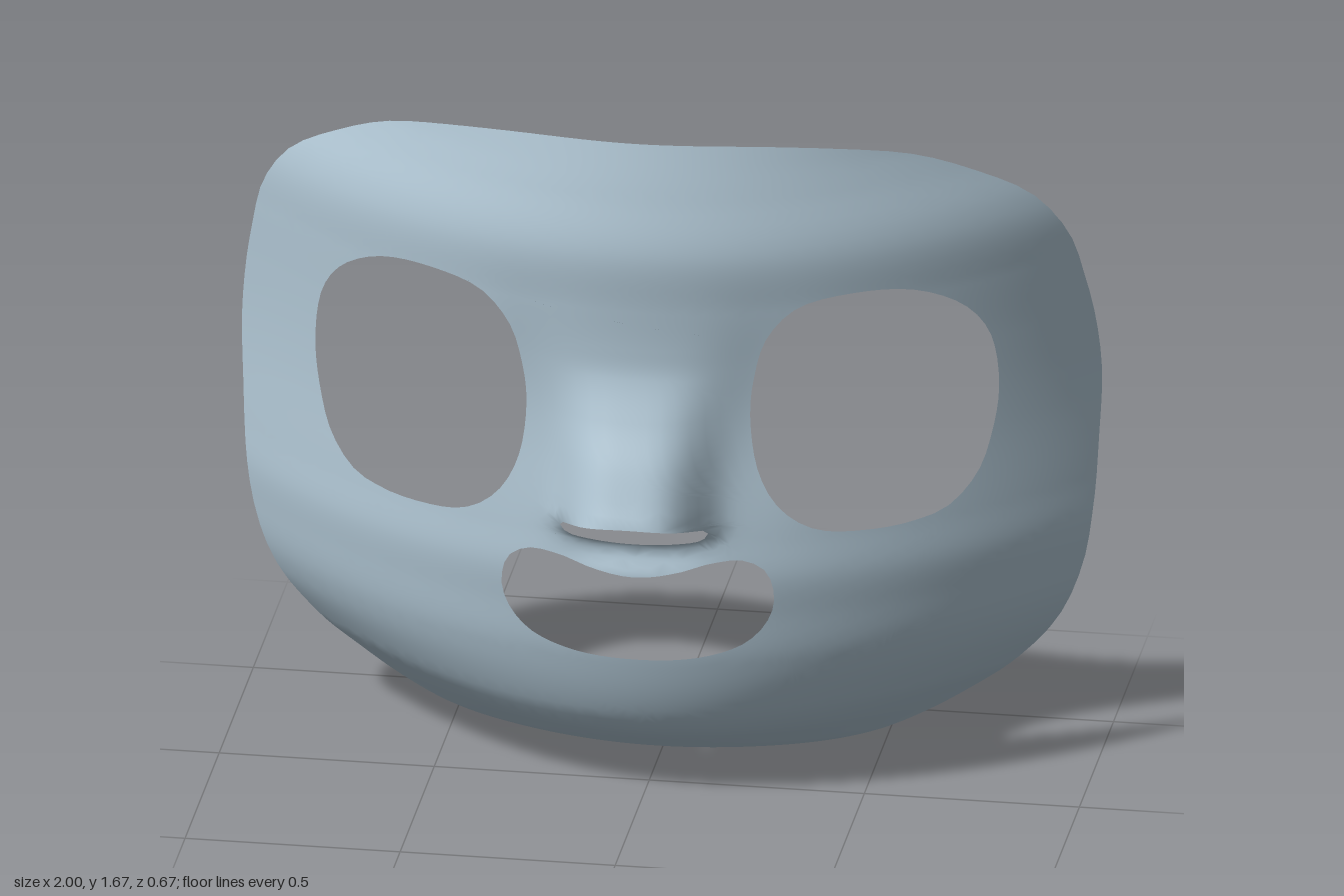
import * as THREE from 'three';
import { mergeVertices } from 'three/addons/utils/BufferGeometryUtils.js';

const shell = new THREE.MeshStandardMaterial({ color: 0xb2c8d6, side: THREE.DoubleSide });
shell.name = 'pale blue shell';

// Smooth interpolation through [position, value] pairs
function smoothTable(t) {
  const slope = i => {
    const a = t[Math.max(i - 1, 0)], b = t[Math.min(i + 1, t.length - 1)];
    return (b[1] - a[1]) / (b[0] - a[0]);
  };
  return y => {
    let i = 0;
    while (i < t.length - 2 && y > t[i + 1][0]) i++;
    const d = t[i + 1][0] - t[i][0], u = (y - t[i][0]) / d, v = 1 - u;
    return t[i][1] * (1 + 2 * u) * v * v + slope(i) * d * u * v * v
      + t[i + 1][1] * u * u * (3 - 2 * u) - slope(i + 1) * d * u * u * v;
  };
}

// Depth of the face along its middle, from chin to forehead
const middle = smoothTable([[0, -0.21], [0.045, -0.105], [0.095, -0.015], [0.16, 0.085], [0.235, 0.14],
  [0.38, 0.19], [0.5, 0.21], [0.6, 0.224], [0.7, 0.22], [0.9, 0.212], [1.12, 0.215], [1.27, 0.225],
  [1.41, 0.238], [1.55, 0.215], [1.68, 0.188]]);
// How strongly the face curves back towards the sides
const bend = smoothTable([[0, 0.62], [0.05, 0.66], [0.15, 0.74], [0.24, 0.64], [0.35, 0.55], [0.5, 0.51],
  [1, 0.505], [1.3, 0.505], [1.45, 0.53], [1.6, 0.58], [1.68, 0.58]]);
// How far the nose stands out
const nose = smoothTable([[0, 0], [0.6, 0], [0.69, 0], [0.74, 0.122], [0.77, 0.125], [0.82, 0.11],
  [0.9, 0.083], [1, 0.04], [1.1, 0.006], [1.17, 0], [1.3, 0], [1.7, 0]]);

function depth(x, y) {
  const ax = Math.abs(x);
  const ridge = nose(y) * Math.exp(-((ax / 0.155) ** 4));
  const socket = 0.018 * Math.exp(-(((ax - 0.27) / 0.1) ** 2) - ((y - 1) / 0.2) ** 2);
  return middle(y) - bend(y) * x * x - 0.04 * x ** 6 + ridge - socket;
}

// Closed smooth contour through points
function contour(points, divisions) {
  const c = new THREE.CatmullRomCurve3(points.map(([x, y]) => new THREE.Vector3(x, y, 0)), true, 'centripetal');
  return c.getSpacedPoints(divisions).slice(0, -1).map(p => new THREE.Vector2(p.x, p.y));
}
// Mirrors a half contour whose first and last points lie on x = 0
const mirrored = half => [...half, ...half.slice(1, -1).reverse().map(([x, y]) => [-x, y])];

const outline = mirrored([[0, 1.675], [0.28, 1.668], [0.48, 1.64], [0.61, 1.605], [0.73, 1.545], [0.865, 1.45],
  [0.935, 1.34], [0.97, 1.2], [0.99, 1.08], [1, 0.95], [0.995, 0.8], [0.985, 0.63], [0.96, 0.48],
  [0.905, 0.35], [0.805, 0.237], [0.68, 0.15], [0.54, 0.08], [0.44, 0.047], [0.25, 0.012], [0, 0.003]]);
const eye = [[0.26, 1], [0.27, 1.1], [0.3, 1.2], [0.37, 1.275], [0.5, 1.3], [0.62, 1.285], [0.72, 1.225],
  [0.775, 1.14], [0.795, 1], [0.78, 0.88], [0.75, 0.79], [0.69, 0.725], [0.62, 0.705], [0.53, 0.7],
  [0.41, 0.715], [0.33, 0.77], [0.28, 0.86]];
const nostril = mirrored([[0, 0.772], [0.08, 0.767], [0.14, 0.75], [0.172, 0.732], [0.16, 0.708], [0.1, 0.692], [0, 0.685]]);
const mouth = mirrored([[0, 0.605], [0.1, 0.62], [0.18, 0.645], [0.25, 0.65], [0.3, 0.62], [0.317, 0.55],
  [0.3, 0.49], [0.25, 0.435], [0.15, 0.398], [0, 0.386]]);

// Halves the longest edge of each triangle until all edges are short
function refine(triangles, limit) {
  const out = [], stack = triangles;
  while (stack.length) {
    const t = stack.pop();
    const len = t.map((p, i) => p.distanceTo(t[(i + 1) % 3]));
    const longest = Math.max(...len);
    if (longest <= limit) { out.push(...t); continue; }
    const i = len.indexOf(longest);
    const a = t[i], b = t[(i + 1) % 3], c = t[(i + 2) % 3];
    const m = a.clone().add(b).multiplyScalar(0.5);
    stack.push([a, m, c], [m, b, c]);
  }
  return out;
}

function maskGeometry() {
  // Flat face with eye, nose and mouth openings
  const shape = new THREE.Shape(contour(outline, 120));
  for (const [points, n] of [[eye, 56], [eye.map(([x, y]) => [-x, y]), 56], [nostril, 40], [mouth, 56]])
    shape.holes.push(new THREE.Path(contour(points, n)));
  const flat = new THREE.ShapeGeometry(shape).toNonIndexed().getAttribute('position');
  const triangles = [];
  for (let i = 0; i < flat.count; i += 3)
    triangles.push([0, 1, 2].map(k => new THREE.Vector2(flat.getX(i + k), flat.getY(i + k))));

  // Push the face into relief, with normals taken from its slope
  const positions = [], normals = [], e = 0.004, n = new THREE.Vector3();
  for (const { x, y } of refine(triangles, 0.04)) {
    positions.push(x, y, depth(x, y));
    n.set((depth(x - e, y) - depth(x + e, y)) / (2 * e), (depth(x, y - e) - depth(x, y + e)) / (2 * e), 1).normalize();
    normals.push(n.x, n.y, n.z);
  }
  const g = new THREE.BufferGeometry();
  g.setAttribute('position', new THREE.Float32BufferAttribute(positions, 3));
  g.setAttribute('normal', new THREE.Float32BufferAttribute(normals, 3));
  return mergeVertices(g, 1e-5);
}

export function createModel() {
  const model = new THREE.Group();
  model.name = 'mask';
  const face = new THREE.Mesh(maskGeometry(), shell);
  face.name = 'maskShell';
  model.add(face);
  return model;
}
